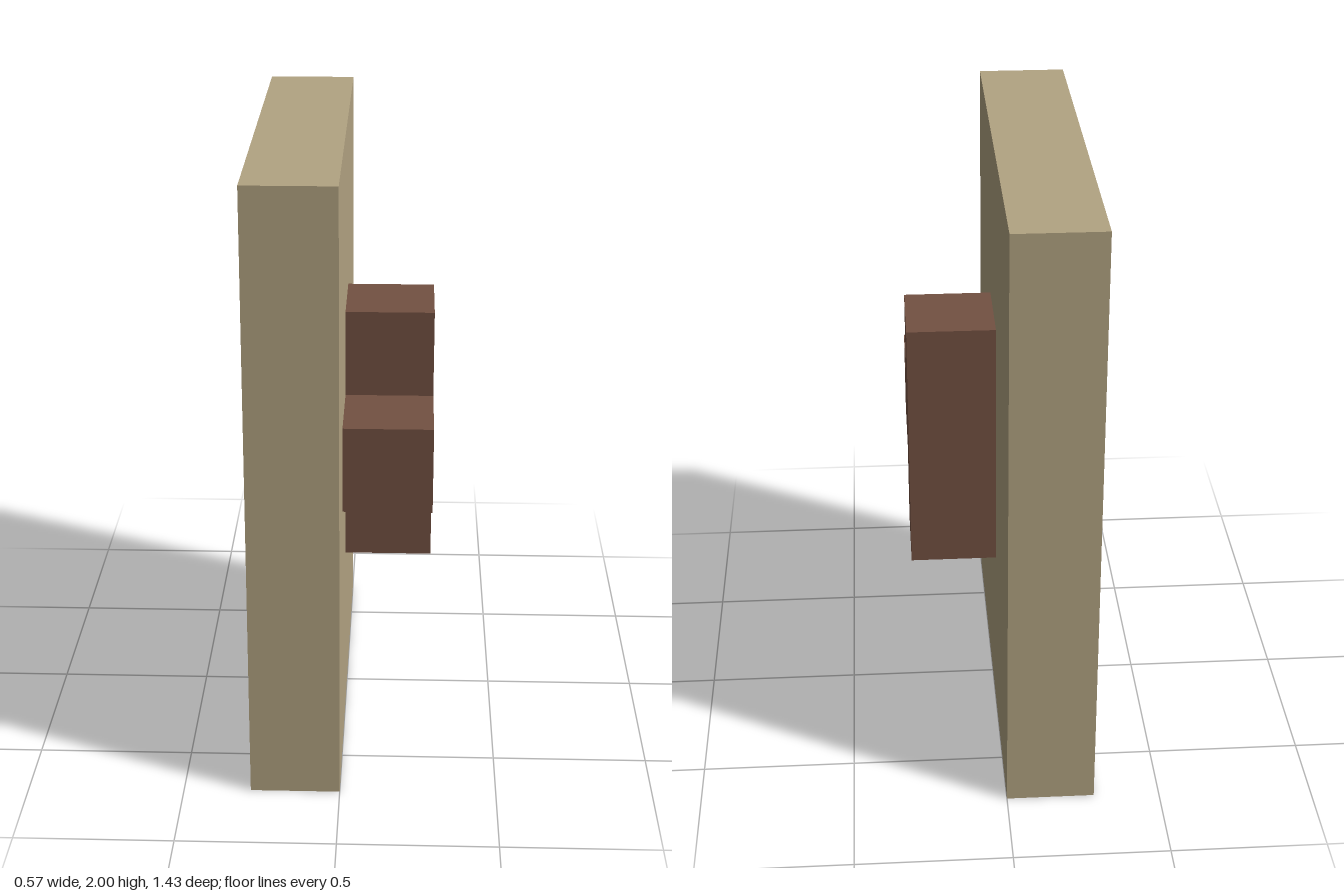
import * as THREE from 'three';

const U = 2 / 7; // grid unit: panel is 1 x 7 x 5 units

export function createModel() {
  const model = new THREE.Group();
  model.name = 'panelWithTBlock';

  // Upright tan panel
  const panel = new THREE.Mesh(
    new THREE.BoxGeometry(U, 7 * U, 5 * U),
    new THREE.MeshStandardMaterial({ color: 0xb2a382 })
  );
  panel.name = 'panel';
  panel.position.set(-U / 2, 3.5 * U, 0);
  model.add(panel);

  // T-shaped block: upright bar with a stub towards the front, drawn as (z, y)
  const outline = [
    [-0.5, -1.5], [0.5, -1.5], [0.5, -0.5], [1.5, -0.5],
    [1.5, 0.5], [0.5, 0.5], [0.5, 1.5], [-0.5, 1.5],
  ].map(([z, y]) => new THREE.Vector2(z * U, y * U));
  const geometry = new THREE.ExtrudeGeometry(new THREE.Shape(outline), { depth: U, bevelEnabled: false });
  geometry.rotateY(-Math.PI / 2); // outline x becomes z, depth runs along -x
  const block = new THREE.Mesh(geometry, new THREE.MeshStandardMaterial({ color: 0x735142 }));
  block.name = 'tBlock';
  block.position.set(U, 3.5 * U, 0);
  model.add(block);

  return model;
}
